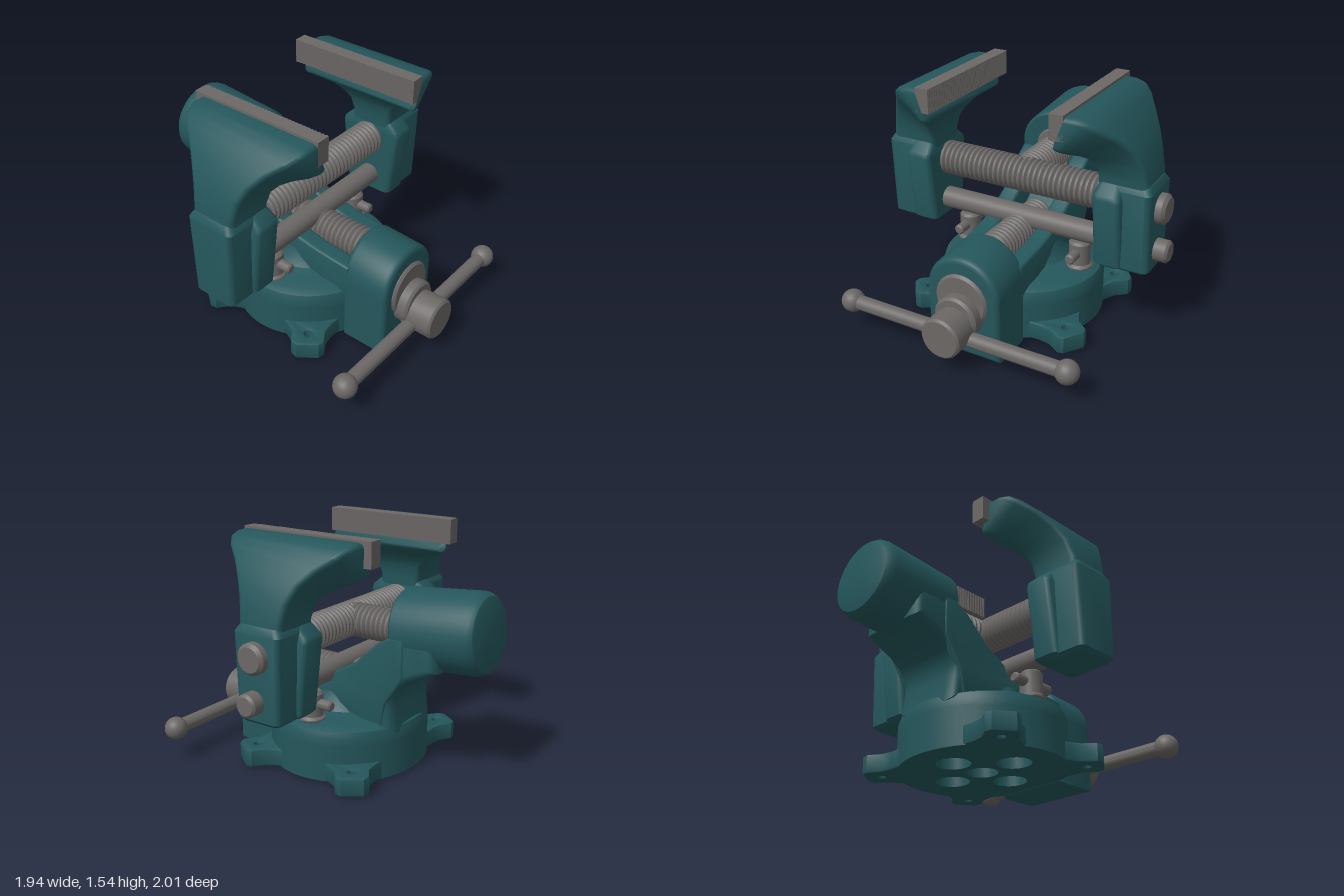
import * as THREE from 'three';
import { toCreasedNormals } from 'three/addons/utils/BufferGeometryUtils.js';

const V = (x, y, z) => new THREE.Vector3(x, y, z);
const X = V(1, 0, 0), Y = V(0, 1, 0), Z = V(0, 0, 1);

export function createModel() {
  const paint = new THREE.MeshStandardMaterial({ color: 0x24565b });
  paint.name = 'teal paint';
  const steel = new THREE.MeshStandardMaterial({ color: 0x6b6866 });
  steel.name = 'grey steel';

  const root = new THREE.Group();
  root.name = 'benchVise';
  const vise = new THREE.Group();
  vise.name = 'viseBody';
  vise.position.x = -0.045;
  root.add(vise);

  const add = (name, geo, mat, parent = vise, crease = 0.6) => {
    const m = new THREE.Mesh(toCreasedNormals(geo, crease), mat);
    m.name = name;
    parent.add(m);
    return m;
  };
  const pts = (a) => a.map(([x, y]) => new THREE.Vector2(x, y));

  // Turned part: profile of [radius, distance] laid from a point along an axis
  const turned = (name, profile, mat, pos, axis, crease = 0.6, parent = vise) => {
    const m = add(name, new THREE.LatheGeometry(pts(profile), 40), mat, parent, crease);
    m.position.copy(pos);
    m.quaternion.setFromUnitVectors(Y, axis.clone().normalize());
    return m;
  };
  const rod = (r, h, b = 0.015) => [[0, 0], [r - b, 0], [r, b], [r, h - b], [r - b, h], [0, h]];
  const thread = (r, h, pitch = 0.036) => {
    const p = [[0, 0]];
    const n = Math.round(h / pitch);
    for (let i = 0; i < n; i++) {
      const y = (i * h) / n, s = h / n;
      p.push([r - 0.016, y], [r, y + s * 0.35], [r, y + s * 0.7]);
    }
    p.push([r - 0.016, h], [0, h]);
    return p;
  };

  // Rounded-rectangle loft: each section is [outer x, outer y, inner x, inner y, half depth]
  const loft = (sections, radius) => {
    const pos = [], idx = [];
    const n = 16;
    for (const [ox, oy, ix, iy, hw] of sections) {
      const e = V(ix - ox, iy - oy, 0), half = e.length() / 2;
      e.normalize();
      const r = Math.min(radius, half * 0.9, hw * 0.9);
      for (let k = 0; k < n; k++) {
        const q = Math.floor(k / 4), a = ((q + (k % 4) / 3) * Math.PI) / 2;
        const s = (q === 0 || q === 3 ? 1 : -1) * (half - r) + Math.cos(a) * r;
        const t = (q < 2 ? 1 : -1) * (hw - r) + Math.sin(a) * r;
        pos.push((ox + ix) / 2 + e.x * s, (oy + iy) / 2 + e.y * s, -t);
      }
    }
    for (let i = 0; i < sections.length - 1; i++) {
      for (let k = 0; k < n; k++) {
        const a = i * n + k, b = i * n + ((k + 1) % n);
        idx.push(a, b, a + n, b, b + n, a + n);
      }
    }
    const last = (sections.length - 1) * n;
    for (let k = 1; k < n - 1; k++) idx.push(0, k + 1, k, last, last + k, last + k + 1);
    const g = new THREE.BufferGeometry();
    g.setAttribute('position', new THREE.Float32BufferAttribute(pos, 3));
    g.setIndex(idx);
    return g;
  };

  // Side profile in [z, y], extruded across x with rounded edges
  const sideSlab = (profile, width, bevel) => {
    const g = new THREE.ExtrudeGeometry(new THREE.Shape(pts(profile)), {
      depth: width - 2 * bevel, bevelEnabled: true, bevelSize: bevel * 0.6,
      bevelThickness: bevel, bevelOffset: -bevel * 0.6, bevelSegments: 4,
    });
    return g.rotateY(-Math.PI / 2).translate(width / 2 - bevel, 0, 0);
  };

  // Round base with five bored holes
  const disc = new THREE.Shape().absarc(0, 0, 0.54, 0, Math.PI * 2);
  const bore = (x, y, r) => disc.holes.push(new THREE.Path().absarc(x, y, r, 0, Math.PI * 2, true));
  bore(0, 0, 0.1);
  for (let i = 0; i < 4; i++) {
    const a = (i * Math.PI) / 2;
    bore(Math.cos(a) * 0.26, Math.sin(a) * 0.26, 0.11);
  }
  const discGeo = new THREE.ExtrudeGeometry(disc, { depth: 0.24, bevelEnabled: false, curveSegments: 32 });
  add('baseDisc', discGeo.rotateX(-Math.PI / 2).translate(0, 0.02, 0).scale(1, 1, 0.93), paint);
  const crown = [[0, 0.25], [0.54, 0.25], [0.54, 0.3], [0.525, 0.34], [0.48, 0.362], [0.38, 0.37],
    [0.31, 0.39], [0.27, 0.44], [0.25, 0.5], [0, 0.5]];
  add('baseCrown', new THREE.LatheGeometry(pts(crown), 64).scale(1, 1, 0.93), paint);

  // Four mounting ears
  for (const deg of [36, 144, 216, 324]) {
    const s = new THREE.Shape(pts([[0.42, -0.22], [0.53, -0.13], [0.6, -0.095], [0.69, -0.09], [0.715, -0.065],
      [0.715, 0.065], [0.69, 0.09], [0.6, 0.095], [0.53, 0.13], [0.42, 0.22]]));
    s.holes.push(new THREE.Path().absarc(0.625, 0, 0.038, 0, Math.PI * 2, true));
    const g = new THREE.ExtrudeGeometry(s, { depth: 0.09, bevelSize: 0.012, bevelThickness: 0.015, bevelSegments: 2 });
    add('mountingEar', g.rotateX(-Math.PI / 2).translate(0, 0.035, 0), paint).rotation.y = (deg * Math.PI) / 180;
  }

  // Front housing: arched block with a slightly falling top
  const arch = new THREE.Shape();
  arch.moveTo(-0.215, 0.04);
  arch.lineTo(0.215, 0.04);
  arch.lineTo(0.215, 0.44);
  arch.absarc(0, 0.44, 0.215, 0, Math.PI);
  const archGeo = new THREE.ExtrudeGeometry(arch, {
    depth: 0.25, bevelSize: 0.035, bevelThickness: 0.035, bevelSegments: 4, curveSegments: 24,
  }).translate(0, 0, 0.465);
  const ap = archGeo.attributes.position;
  for (let i = 0; i < ap.count; i++) {
    ap.setY(i, ap.getY(i) * (1 - 0.12 * (ap.getZ(i) - 0.43)));
  }
  add('frontHousing', archGeo, paint);

  // Sloping arm with a channel between two side walls
  const under = [[-0.76, 0.74], [-0.66, 0.69], [-0.58, 0.655], [-0.51, 0.6], [-0.465, 0.53], [-0.46, 0.46], [-0.48, 0.3]];
  add('arm', sideSlab([...under, [0.46, 0.3], [0.46, 0.42], [-0.1, 0.46], [-0.3, 0.6], [-0.46, 0.76], [-0.5, 0.98], [-0.76, 0.98]], 0.48, 0.08), paint);
  for (const s of [-1, 1]) {
    const wall = sideSlab([[-0.55, 0.68], [-0.43, 0.5], [-0.4, 0.32], [0.47, 0.32], [0.47, 0.54], [0.2, 0.565],
      [0, 0.61], [-0.2, 0.72], [-0.36, 0.87], [-0.46, 0.93], [-0.55, 0.93]], 0.12, 0.025);
    add('channelWall', wall, paint).position.x = s * 0.188;
  }

  // Rear barrel
  turned('rearBarrel', [[0, 0], [0.235, 0], [0.248, 0.015], [0.252, 0.49], [0.245, 0.525], [0.225, 0.55], [0.19, 0.56], [0, 0.565]],
    paint, V(0, 0.937, -0.437), V(0, 0.075, -1));
  turned('barrelLiner', rod(0.13, 0.03, 0.01), steel, V(0, 0.945, -0.445), Z);
  add('channelPlate', new THREE.BoxGeometry(0.2, 0.28, 0.03), steel).position.set(0, 0.81, -0.43);

  // Main screws: lower front screw and upper rear screw meeting the cross screw
  turned('frontScrew', thread(0.11, 0.66), steel, V(0, 0.55, -0.2), Z, 0.9);
  turned('rearScrew', thread(0.11, 0.46), steel, V(0, 0.918, -0.46), Z, 0.9);
  turned('crossScrew', thread(0.112, 1.22), steel, V(-0.61, 0.918, 0), X, 0.9);
  turned('guideRod', rod(0.071, 1.65), steel, V(-0.635, 0.63, 0.015), X);
  turned('screwHead', rod(0.095, 0.2, 0.02), steel, V(0.785, 0.9, 0), X);

  // Screw head, washer and tommy bar
  turned('washer', rod(0.178, 0.05), steel, V(0, 0.385, 0.72), Z);
  turned('screwCollar', rod(0.145, 0.11), steel, V(0, 0.3, 0.73), Z);
  turned('screwCap', rod(0.132, 0.22, 0.014), steel, V(0, 0.257, 0.78), Z);
  turned('tommyBar', rod(0.047, 1.5), steel, V(-0.75, 0.21, 0.85), X);
  for (const s of [-1, 1]) {
    add('tommyBarKnob', new THREE.SphereGeometry(0.074, 28, 20), steel).position.set(s * 0.756, 0.21, 0.85);
  }

  // Jaws: one shape, turned half round for the other side
  for (const s of [-1, 1]) {
    const jaw = new THREE.Group();
    jaw.name = s < 0 ? 'rightJaw' : 'leftJaw';
    jaw.rotation.y = s < 0 ? 0 : Math.PI;
    vise.add(jaw);
    add('jawArm', loft([
      [-0.9, 0.96, -0.58, 0.96, 0.15], [-0.895, 1.1, -0.58, 1.08, 0.15], [-0.865, 1.22, -0.57, 1.16, 0.175],
      [-0.82, 1.32, -0.55, 1.21, 0.225], [-0.76, 1.4, -0.525, 1.25, 0.295], [-0.69, 1.47, -0.49, 1.285, 0.385],
      [-0.635, 1.51, -0.455, 1.305, 0.425], [-0.57, 1.528, -0.44, 1.312, 0.435], [-0.5, 1.53, -0.427, 1.32, 0.435],
      [-0.49, 1.5, -0.42, 1.34, 0.42],
    ], 0.035), paint, jaw, 0.75);
    add('jawInnerBlock', loft([
      [-0.74, 0.5, -0.595, 0.5, 0.15], [-0.755, 0.52, -0.575, 0.52, 0.172], [-0.755, 0.97, -0.575, 0.97, 0.224],
      [-0.745, 1.0, -0.575, 1.0, 0.215], [-0.735, 1.06, -0.59, 1.06, 0.15],
    ], 0.035), paint, jaw);
    add('jawOuterBlock', loft([
      [-0.905, 0.495, -0.65, 0.495, 0.13], [-0.925, 0.515, -0.65, 0.515, 0.15], [-0.925, 1.03, -0.65, 1.03, 0.168],
      [-0.9, 1.075, -0.65, 1.075, 0.14],
    ], 0.035), paint, jaw);

    // Jaw plate with a serrated gripping face
    const n = 36, z0 = -0.485, z1 = 0.435;
    const edge = [[0.045, z0], [-0.045, z0]];
    for (let i = 0; i <= 2 * n; i++) {
      edge.push([i % 2 ? -0.05 : -0.043, z0 + ((z1 - z0) * i) / (2 * n)]);
    }
    edge.push([0.045, z1]);
    const plate = new THREE.ExtrudeGeometry(new THREE.Shape(pts(edge.map(([x, z]) => [x, -z]))), { depth: 0.155, bevelEnabled: false });
    plate.rotateX(-Math.PI / 2);
    if (s < 0) plate.rotateY(Math.PI).translate(0, 0, z0 + z1);
    add('jawPlate', plate, steel, vise, 0.3).position.set(s * 0.447, 1.385, 0);

    // Swivel lock bolt with cross pin
    turned('lockBoltFoot', rod(0.085, 0.04), steel, V(s * 0.41, 0.355, 0), Y);
    turned('lockBolt', rod(0.07, 0.19), steel, V(s * 0.41, 0.36, 0), Y);
    turned('lockPin', rod(0.033, 0.31, 0.01), steel, V(s * 0.41, 0.475, -0.155), Z);
  }
  return root;
}
